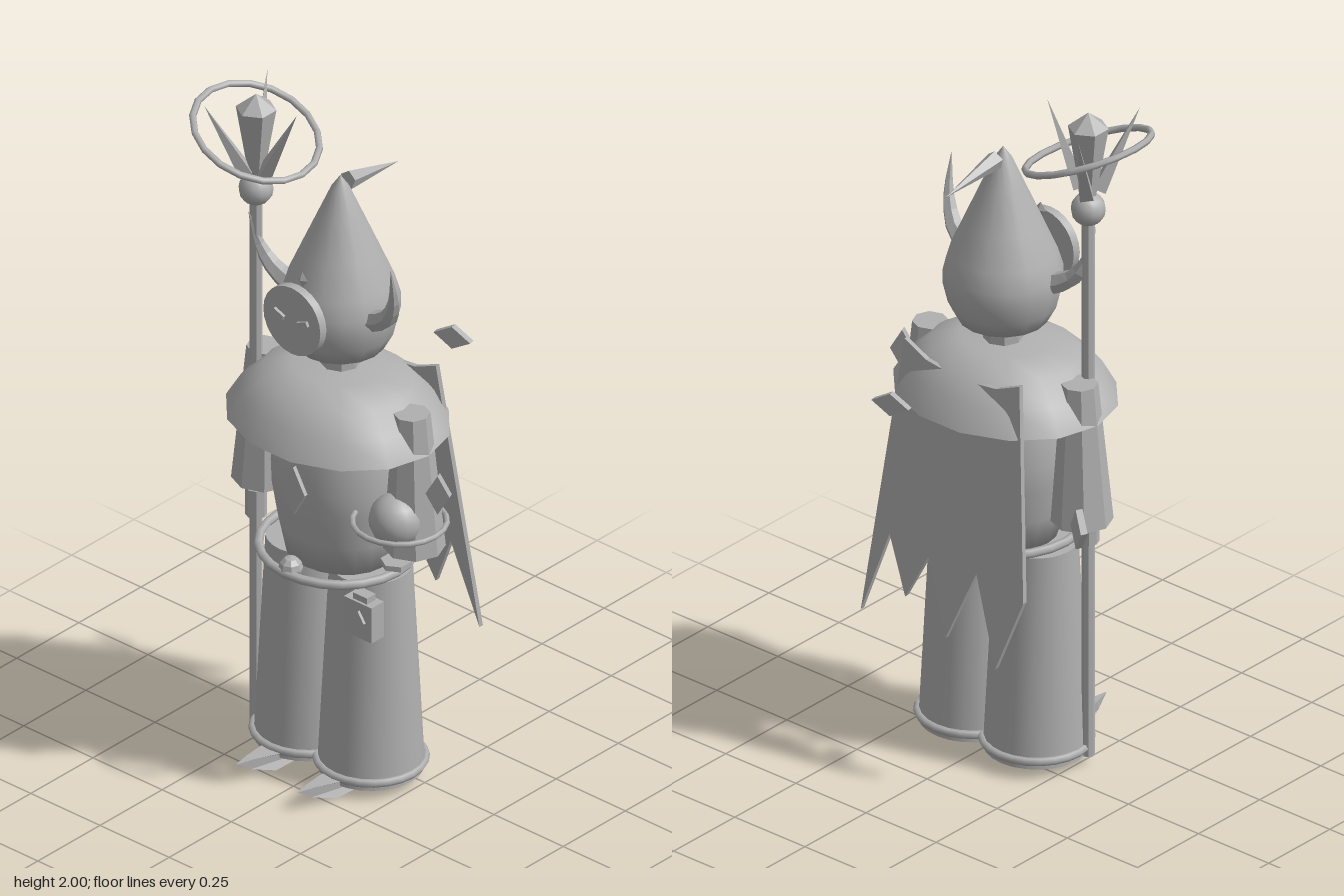
import * as THREE from 'three';
import { toCreasedNormals } from 'three/addons/utils/BufferGeometryUtils.js';

const V = (x, y, z) => new THREE.Vector3(x, y, z);
const UP = V(0, 1, 0);
const CX = -0.01; // body axis
const CZ = 0.055;

export function createModel() {
  const model = new THREE.Group();
  model.name = 'robedMage';
  const grey = new THREE.MeshStandardMaterial({ color: 0xb0b0b0, side: THREE.DoubleSide });
  grey.name = 'stone grey';

  const add = (name, geometry, x = 0, y = 0, z = 0) => {
    const mesh = new THREE.Mesh(geometry, grey);
    mesh.name = name;
    mesh.position.set(x, y, z);
    model.add(mesh);
    return mesh;
  };
  // faceted look through split normals
  const flat = (g) => {
    const out = g.index ? g.toNonIndexed() : g;
    out.computeVertexNormals();
    return out;
  };
  const lathe = (pts, sides, start = Math.PI / 2) =>
    new THREE.LatheGeometry(pts.map(([r, y]) => new THREE.Vector2(r, y)), sides, start);
  const ring = (name, radius, tube, sides, x, y, z) =>
    add(name, new THREE.TorusGeometry(radius, tube, 6, sides).rotateX(Math.PI / 2), x, y, z);
  // pointed spike between two points
  const spike = (name, from, to, radius, sides) => {
    const dir = to.clone().sub(from);
    const mesh = add(name, flat(new THREE.ConeGeometry(radius, dir.length(), sides)));
    mesh.position.copy(from).addScaledVector(dir, 0.5);
    mesh.quaternion.setFromUnitVectors(UP, dir.normalize());
    return mesh;
  };
  // flat diamond plate facing z
  const diamond = (name, hw, hh, depth, x, y, z) => {
    const s = new THREE.Shape([[0, -hh], [hw, 0], [0, hh], [-hw, 0]].map(([a, b]) => new THREE.Vector2(a, b)));
    const g = new THREE.ExtrudeGeometry(s, { depth, bevelEnabled: false });
    return add(name, g.translate(0, 0, -depth / 2), x, y, z);
  };
  // tapering curved horn: rings along a path shrinking to the tip
  const horn = (name, pts, radius) => {
    const sides = 6, steps = 7;
    const curve = new THREE.CatmullRomCurve3(pts);
    const g = new THREE.TubeGeometry(curve, steps, radius, sides, false);
    const p = g.attributes.position;
    for (let i = 0; i <= steps; i++) {
      const c = curve.getPointAt(i / steps);
      for (let j = 0; j <= sides; j++) {
        const k = i * (sides + 1) + j;
        const v = V().fromBufferAttribute(p, k).lerp(c, Math.pow(i / steps, 1.3));
        p.setXYZ(k, v.x, v.y, v.z);
      }
    }
    add(name, flat(g));
  };

  // pointed hood and neck
  add('hood', lathe([[0, 1.305], [0.123, 1.305], [0.15, 1.355], [0.163, 1.41], [0.163, 1.455], [0.147, 1.51],
    [0.108, 1.6], [0.06, 1.71], [0.025, 1.79], [0.001, 1.825]], 16), CX, 0, 0.05);
  add('neck', flat(new THREE.CylinderGeometry(0.055, 0.055, 0.1, 8)), CX, 1.27, 0.05);
  spike('hoodTip', V(CX, 1.797, 0.02), V(CX, 1.765, -0.185), 0.027, 5);

  // face mask with slanted eyes and brow gem
  add('mask', toCreasedNormals(new THREE.CylinderGeometry(0.103, 0.103, 0.025, 24).rotateX(Math.PI / 2), 0.6), CX, 1.455, 0.233);
  for (const s of [-1, 1]) {
    const eye = add('eye', new THREE.BoxGeometry(0.038, 0.015, 0.009), CX + s * 0.043, 1.463, 0.25);
    eye.rotation.z = s * 0.4;
  }
  const browGem = add('browGem', flat(new THREE.OctahedronGeometry(0.02)), CX, 1.567, 0.203);
  browGem.scale.set(1, 1.2, 0.5);

  // side horns
  horn('leftHorn', [V(0.14, 1.445, 0.085), V(0.195, 1.475, 0.092), V(0.24, 1.55, 0.115), V(0.257, 1.675, 0.145)], 0.031);
  horn('rightHorn', [V(-0.16, 1.445, 0.085), V(-0.215, 1.475, 0.09), V(-0.255, 1.53, 0.1), V(-0.275, 1.64, 0.125)], 0.031);

  // shoulder mantle and torso
  add('mantle', lathe([[0.328, 1.08], [0.285, 1.15], [0.22, 1.205], [0.135, 1.24], [0, 1.242]], 14), CX, 0, 0.06).scale.z = 0.85;
  add('torso', lathe([[0, 0.66], [0.155, 0.66], [0.175, 0.75], [0.192, 0.85], [0.195, 0.92], [0.185, 1.01],
    [0.165, 1.09], [0.12, 1.17], [0, 1.2]], 20), CX, 0, CZ).scale.z = 0.87;
  diamond('chestDiamond', 0.042, 0.074, 0.012, CX, 0.92, 0.235);

  // belt, buckle and pouch
  ring('belt', 0.214, 0.013, 24, CX, 0.677, 0.06).rotation.z = -0.03;
  add('buckle', flat(new THREE.SphereGeometry(0.034, 8, 6)), CX, 0.685, 0.25);
  add('pouch', new THREE.BoxGeometry(0.1, 0.11, 0.05), 0.198, 0.587, 0.187);
  add('pouchFlap', new THREE.BoxGeometry(0.05, 0.025, 0.035), 0.2, 0.648, 0.187);
  diamond('pouchDiamond', 0.022, 0.032, 0.009, 0.205, 0.587, 0.216);

  // robe legs, hems and pointed shoes
  for (const s of [-1, 1]) {
    const x = CX + s * 0.115;
    add('robeLeg', toCreasedNormals(new THREE.CylinderGeometry(0.113, 0.145, 0.63, 24), 0.6), x, 0.345, CZ);
    ring('hem', 0.147, 0.012, 24, x, 0.055, CZ);
    // sole with an upturned toe
    const side = new THREE.Shape([[0.04, 0.003], [0.22, 0.003], [0.3, 0.035], [0.345, 0.066], [0.29, 0.063], [0.2, 0.05], [0.04, 0.03]]
      .map(([z, y]) => new THREE.Vector2(z, y)));
    const shoe = new THREE.ExtrudeGeometry(side, { depth: 0.07, bevelEnabled: false });
    shoe.translate(0, 0, -0.035).rotateY(-Math.PI / 2);
    const p = shoe.attributes.position;
    for (let i = 0; i < p.count; i++) {
      const taper = THREE.MathUtils.clamp((0.35 - p.getZ(i)) / 0.15, 0.03, 1);
      p.setX(i, p.getX(i) * taper);
    }
    add('shoe', flat(shoe), CX + s * 0.11, 0, 0);
  }

  // bell sleeves
  for (const s of [-1, 1]) {
    const sleeve = add('sleeve', flat(new THREE.CylinderGeometry(0.05, 0.085, 0.415, 8)), CX + s * 0.27, 0.983, 0.058);
    sleeve.rotation.z = s * 0.02;
  }

  // left hand, orb and orbiting ring
  add('leftHand', flat(new THREE.CylinderGeometry(0.043, 0.043, 0.016, 6)), 0.25, 0.745, 0.115);
  add('orb', new THREE.SphereGeometry(0.075, 16, 12), 0.25, 0.88, 0.115);
  ring('orbRing', 0.128, 0.008, 20, 0.258, 0.877, 0.11);

  // staff with collar, crystal, prongs and tilted halo
  const SX = -0.268, SZ = 0.102;
  add('rightHand', flat(new THREE.CylinderGeometry(0.03, 0.03, 0.085, 8)), SX, 0.727, SZ);
  add('staff', flat(new THREE.CylinderGeometry(0.018, 0.018, 1.66, 8)), SX, 0.86, SZ);
  add('collar', new THREE.SphereGeometry(0.048, 12, 8), SX, 1.705, SZ);
  add('crystal', flat(lathe([[0, 1.73], [0.02, 1.74], [0.056, 1.955], [0, 2]], 6, 0)), SX, 0, SZ);
  for (let i = 0; i < 3; i++) {
    const a = i * Math.PI * 2 / 3, c = Math.cos(a), d = Math.sin(a);
    spike('prong', V(SX + c * 0.03, 1.76, SZ + d * 0.03), V(SX + c * 0.147, 1.99, SZ + d * 0.147), 0.026, 4);
  }
  ring('halo', 0.178, 0.01, 18, SX, 1.88, SZ).rotation.z = -0.385;

  // ragged cape leaning backwards
  const edge = [[0.19, 1.235], [0.27, 0.41], [0.19, 0.66], [0.12, 0.5], [0.05, 0.64], [-0.03, 0.43], [-0.12, 0.65],
    [-0.21, 0.4], [-0.29, 0.62], [-0.22, 1.235], [-0.14, 1.2], [-0.015, 1.185], [0.11, 1.2]];
  const cape = new THREE.ExtrudeGeometry(new THREE.Shape(edge.map(([x, y]) => new THREE.Vector2(x, y))),
    { depth: 0.014, bevelEnabled: false });
  const cp = cape.attributes.position;
  for (let i = 0; i < cp.count; i++) cp.setZ(i, cp.getZ(i) - 0.125 - (1.235 - cp.getY(i)) * 0.105);
  add('cape', flat(cape));

  // floating shards
  diamond('leftShard', 0.034, 0.06, 0.02, 0.408, 1.025, 0.12).rotation.y = 0.4;
  diamond('rightShard', 0.034, 0.06, 0.02, -0.385, 0.835, -0.07).rotation.y = -0.43;
  diamond('backShard', 0.058, 0.034, 0.018, 0.052, 1.172, -0.336).rotation.y = 0.18;

  return model;
}
